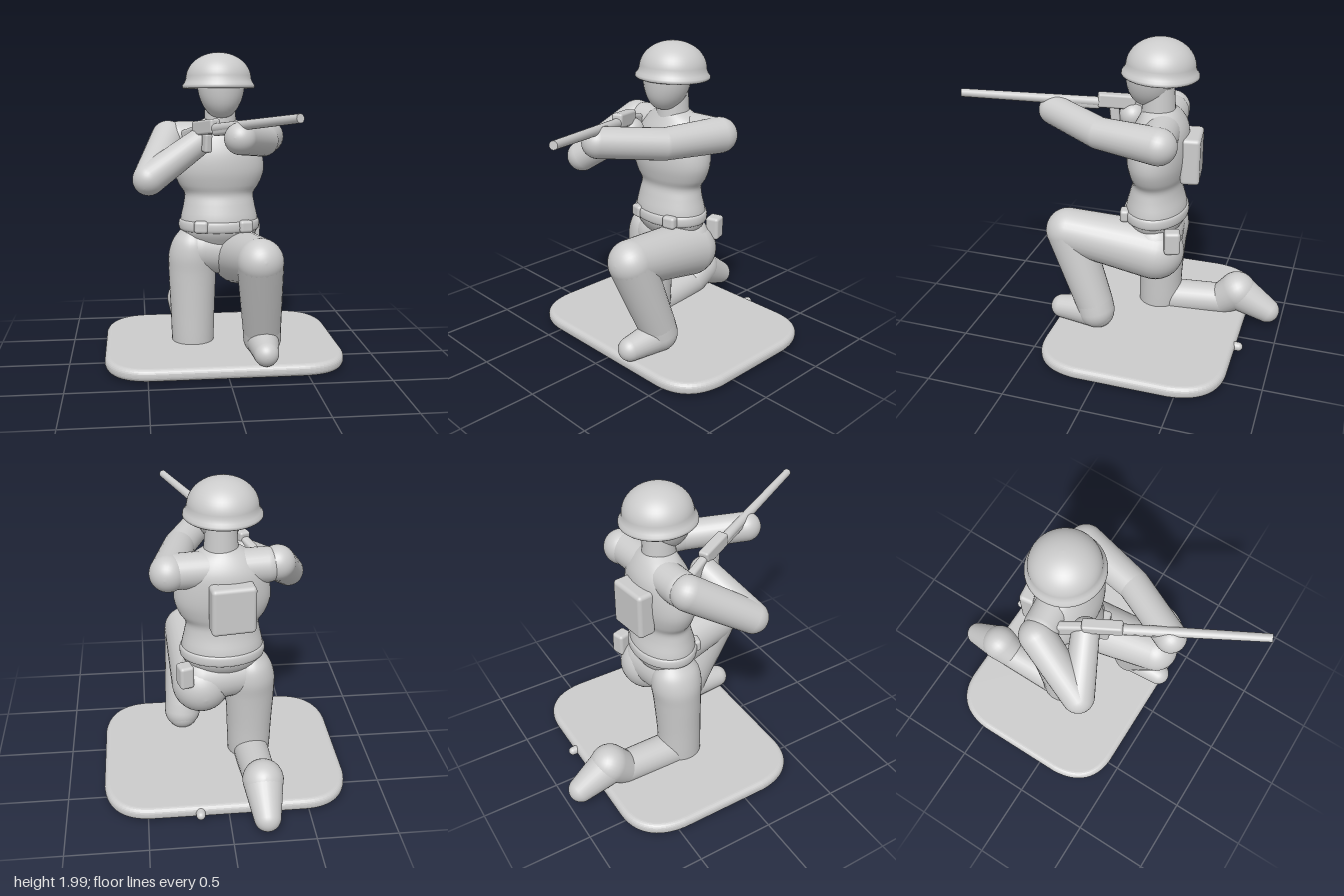
import * as THREE from 'three';
import { mergeVertices } from 'three/addons/utils/BufferGeometryUtils.js';
import { RoundedBoxGeometry } from 'three/addons/geometries/RoundedBoxGeometry.js';

const grey = new THREE.MeshStandardMaterial({ color: 0xcccccc });
const V = (a) => new THREE.Vector3(a[0], a[1], a[2]);
const UP = new THREE.Vector3(0, 1, 0);

function part(parent, name, geometry, position = [0, 0, 0], rotation = [0, 0, 0]) {
  const mesh = new THREE.Mesh(geometry, grey);
  mesh.name = name;
  mesh.position.set(...position);
  mesh.rotation.set(...rotation);
  parent.add(mesh);
  return mesh;
}

// Tapered rod with round ends between two points [x, y, z, radius]
function capsule(parent, name, a, b) {
  const from = V(a), dir = V(b).sub(from), len = dir.length();
  const profile = [];
  const tilt = Math.asin(THREE.MathUtils.clamp((a[3] - b[3]) / len, -1, 1));
  for (let i = 0; i <= 10; i++) {
    const t = THREE.MathUtils.lerp(-Math.PI / 2, tilt, i / 10);
    profile.push(new THREE.Vector2(Math.cos(t) * a[3], Math.sin(t) * a[3]));
  }
  for (let i = 0; i <= 10; i++) {
    const t = THREE.MathUtils.lerp(tilt, Math.PI / 2, i / 10);
    profile.push(new THREE.Vector2(Math.max(0, Math.cos(t) * b[3]), len + Math.sin(t) * b[3]));
  }
  profile[0].x = 0;
  const mesh = part(parent, name, new THREE.LatheGeometry(profile, 28), a.slice(0, 3));
  mesh.quaternion.setFromUnitVectors(UP, dir.normalize());
  return mesh;
}

// Limb made of capsules that share their joints
function limb(parent, name, joints) {
  const group = new THREE.Group();
  group.name = name;
  for (let i = 1; i < joints.length; i++) capsule(group, name + 'Segment' + i, joints[i - 1], joints[i]);
  parent.add(group);
  return group;
}

// Smooth body of elliptical sections [y, halfWidth, halfDepth, centreZ]
function loft(rows, steps = 40, segments = 40) {
  const size = new THREE.CatmullRomCurve3(rows.map(([y, w, d]) => new THREE.Vector3(w, y, d)));
  const centre = new THREE.CatmullRomCurve3(rows.map(([y, , , z]) => new THREE.Vector3(0, y, z)));
  const rings = size.getPoints(steps), mids = centre.getPoints(steps);
  const g = new THREE.LatheGeometry(rings.map((p) => new THREE.Vector2(Math.max(p.x, 0.001), p.y)), segments);
  const pos = g.attributes.position;
  for (let i = 0; i < pos.count; i++) {
    const k = i % rings.length;
    pos.setZ(i, pos.getZ(i) * Math.max(rings[k].z, 0.001) / Math.max(rings[k].x, 0.001) + mids[k].z);
  }
  g.deleteAttribute('uv');
  g.deleteAttribute('normal');
  const merged = mergeVertices(g, 1e-5);
  merged.computeVertexNormals();
  return merged;
}

function buildBase(parent) {
  const bevel = 0.035, w = 0.77 - bevel, d = 0.6 - bevel, r = 0.27;
  const s = new THREE.Shape();
  s.moveTo(-w + r, -d);
  s.lineTo(w - r, -d).quadraticCurveTo(w - 0.02, -d, w, -d + r);
  s.lineTo(w, d - r).quadraticCurveTo(w - 0.02, d, w - r, d);
  s.lineTo(-w + r, d).quadraticCurveTo(-w + 0.02, d, -w, d - r);
  s.lineTo(-w, -d + r).quadraticCurveTo(-w + 0.02, -d, -w + r, -d);
  const g = new THREE.ExtrudeGeometry(s, {
    depth: 0.01, bevelEnabled: true, bevelSize: bevel, bevelThickness: bevel, bevelSegments: 6, curveSegments: 16,
  });
  g.rotateX(-Math.PI / 2);
  part(parent, 'base', g, [0, bevel, -0.17]);
  capsule(parent, 'baseNub', [0.18, 0.04, -0.74, 0.03], [0.18, 0.04, -0.79, 0.028]);
}

function buildHead(parent) {
  part(parent, 'neck', new THREE.CylinderGeometry(0.095, 0.11, 0.24, 28), [0, 1.57, -0.185]);
  part(parent, 'head', loft([
    [1.56, 0.01, 0.01, -0.12], [1.58, 0.065, 0.075, -0.12], [1.64, 0.115, 0.125, -0.125],
    [1.72, 0.145, 0.148, -0.13], [1.8, 0.15, 0.155, -0.14], [1.86, 0.1, 0.1, -0.15],
  ], 24, 28));
  // Dome helmet with a rolled brim, tipped back a little
  const profile = [[0, 0.02], [0.18, 0.01], [0.215, -0.012], [0.228, -0.016], [0.236, -0.008], [0.234, 0.006], [0.222, 0.022], [0.212, 0.045]]
    .map(([x, y]) => new THREE.Vector2(x, y));
  for (let i = 1; i <= 14; i++) {
    const t = (i / 14) * Math.PI / 2;
    profile.push(new THREE.Vector2(Math.max(0, 0.212 * Math.cos(t)), 0.045 + 0.17 * Math.sin(t)));
  }
  part(parent, 'helmet', new THREE.LatheGeometry(profile, 48), [-0.01, 1.765, -0.19], [-0.045, 0, 0]);
}

function buildTorso(parent) {
  part(parent, 'torso', loft([
    [0.74, 0.2, 0.14, -0.18], [0.82, 0.25, 0.185, -0.18], [0.9, 0.255, 0.19, -0.18], [1.0, 0.235, 0.165, -0.18],
    [1.07, 0.228, 0.152, -0.185], [1.13, 0.265, 0.168, -0.185], [1.22, 0.295, 0.185, -0.185],
    [1.33, 0.285, 0.185, -0.19], [1.43, 0.25, 0.165, -0.2], [1.51, 0.18, 0.125, -0.2], [1.56, 0.09, 0.09, -0.19],
  ]).translate(-0.008, 0, 0));
  // Shoulder yoke
  capsule(parent, 'shoulders', [-0.27, 1.43, -0.2, 0.11], [0.27, 1.43, -0.25, 0.11]);
  // Belt with gear
  part(parent, 'belt', loft([
    [0.825, 0.235, 0.17, -0.18], [0.835, 0.262, 0.198, -0.18], [0.865, 0.268, 0.203, -0.18],
    [0.895, 0.262, 0.197, -0.18], [0.905, 0.235, 0.17, -0.18],
  ], 16).translate(-0.008, 0, 0));
  for (const x of [-0.14, 0.15]) {
    part(parent, 'beltPouch', new RoundedBoxGeometry(0.09, 0.08, 0.06, 3, 0.02), [x, 0.87, -0.015], [0, x * 1.5, 0]);
  }
  part(parent, 'hipPouch', new RoundedBoxGeometry(0.09, 0.15, 0.1, 3, 0.02), [0.235, 0.77, -0.345], [0, 0.3, 0]);
  part(parent, 'backpack', new RoundedBoxGeometry(0.27, 0.3, 0.12, 4, 0.025), [-0.05, 1.24, -0.39], [0, 0.13, 0]);
}

function buildLegs(parent) {
  // Pelvis joins both thighs
  capsule(parent, 'pelvis', [-0.12, 0.7, -0.18, 0.16], [0.11, 0.68, -0.2, 0.17]);
  part(parent, 'rightThigh', loft([
    [0.04, 0.135, 0.135, -0.16], [0.1, 0.14, 0.142, -0.165], [0.3, 0.147, 0.145, -0.17],
    [0.55, 0.157, 0.155, -0.18], [0.67, 0.155, 0.165, -0.185], [0.76, 0.125, 0.15, -0.185], [0.83, 0.07, 0.1, -0.185],
  ], 30, 32).translate(-0.188, 0, 0));
  limb(parent, 'rightShin', [[-0.195, 0.1, -0.2, 0.115], [-0.21, 0.13, -0.6, 0.105], [-0.21, 0.215, -0.7, 0.127]]);
  limb(parent, 'rightFoot', [[-0.21, 0.21, -0.7, 0.125], [-0.21, 0.095, -0.91, 0.083]]);
  limb(parent, 'leftLeg', [
    [0.13, 0.63, -0.21, 0.185], [0.19, 0.72, 0.355, 0.145], [0.23, 0.24, 0.175, 0.122], [0.235, 0.18, 0.16, 0.122],
  ]);
  limb(parent, 'leftFoot', [[0.235, 0.165, 0.15, 0.11], [0.225, 0.15, 0.4, 0.078]]);
}

function buildArms(parent) {
  limb(parent, 'leftArm', [[0.32, 1.43, -0.27, 0.113], [0.235, 1.435, 0.12, 0.098], [0.05, 1.48, 0.48, 0.095]]);
  limb(parent, 'rightArm', [[-0.34, 1.435, -0.19, 0.11], [-0.475, 1.21, 0.175, 0.1], [-0.16, 1.42, 0.03, 0.085]]);
}

function buildRifle(parent) {
  const rifle = new THREE.Group();
  rifle.name = 'rifle';
  const from = new THREE.Vector3(-0.14, 1.5, 0.08);
  rifle.position.copy(from);
  rifle.lookAt(0.3, 1.625, 0.985);
  // Local z runs toward the muzzle
  const barrel = new THREE.CylinderGeometry(0.025, 0.033, 1.02, 20).rotateX(Math.PI / 2);
  part(rifle, 'barrel', barrel, [0, 0, 0.5]);
  part(rifle, 'receiver', new RoundedBoxGeometry(0.07, 0.09, 0.24, 3, 0.015), [0, 0.015, 0.05]);
  part(rifle, 'foreStock', new RoundedBoxGeometry(0.055, 0.06, 0.3, 3, 0.02), [0, -0.015, 0.3]);
  part(rifle, 'buttStock', new RoundedBoxGeometry(0.055, 0.11, 0.24, 3, 0.02), [0, -0.03, -0.13], [-0.12, 0, 0]);
  part(rifle, 'grip', new RoundedBoxGeometry(0.05, 0.12, 0.06, 3, 0.015), [0, -0.08, 0.05], [0.2, 0, 0]);
  parent.add(rifle);
}

export function createModel() {
  const model = new THREE.Group();
  model.name = 'kneelingSoldier';
  for (const build of [buildBase, buildHead, buildTorso, buildLegs, buildArms, buildRifle]) build(model);
  return model;
}
